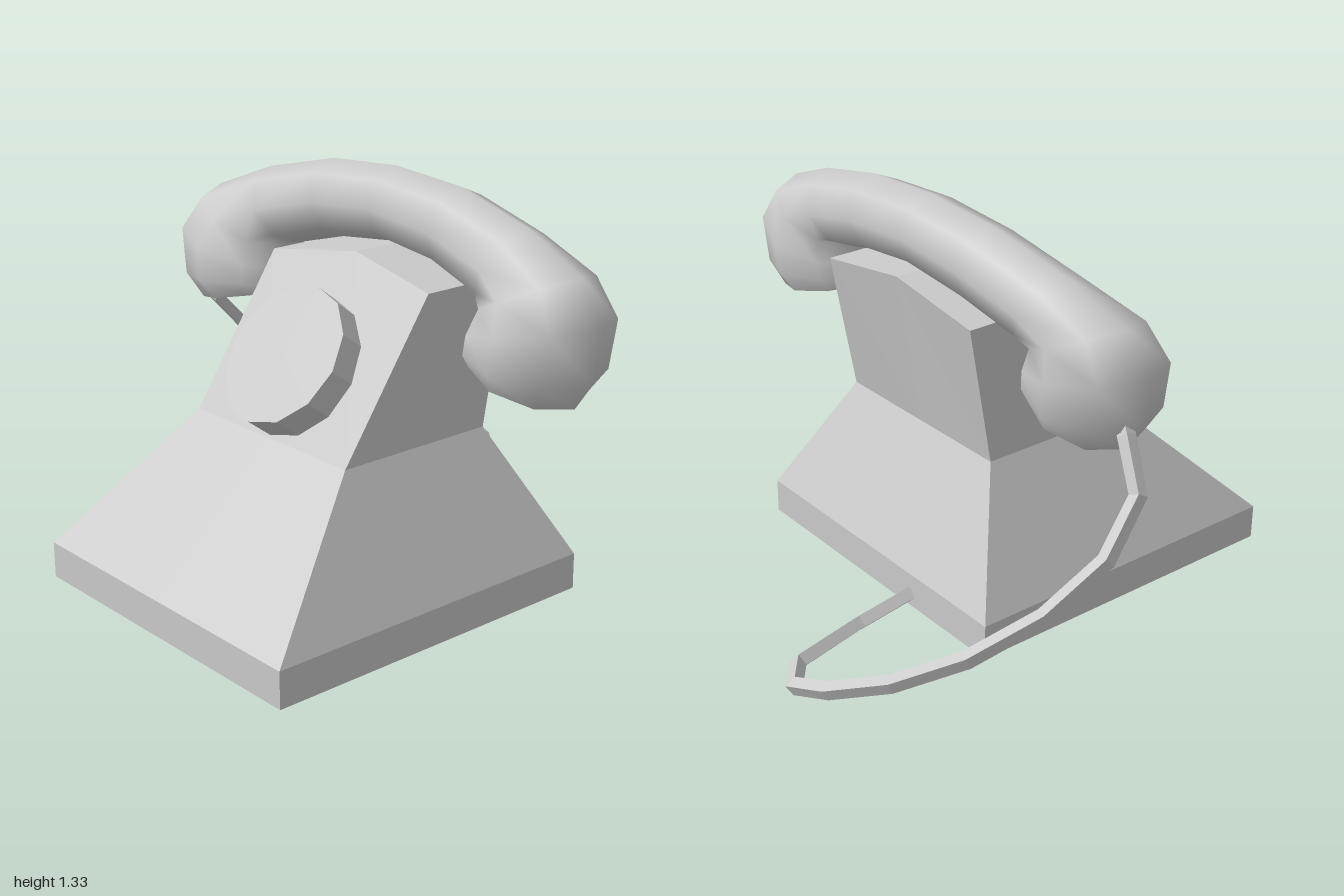
import * as THREE from 'three';

const CENTRE_X = 0.055;
const material = (options = {}) => new THREE.MeshStandardMaterial({ color: 0xcccccc, ...options });

function named(name, geometry, mat) {
  const mesh = new THREE.Mesh(geometry, mat);
  mesh.name = name;
  return mesh;
}

// Surface through closed rings with equal point counts
function skin(rings) {
  const n = rings[0].length;
  const index = [];
  for (let i = 0; i < rings.length - 1; i++) {
    for (let j = 0; j < n; j++) {
      const a = i * n + j, b = i * n + (j + 1) % n;
      index.push(a, b, a + n, b, b + n, a + n);
    }
  }
  const geometry = new THREE.BufferGeometry().setFromPoints(rings.flat());
  geometry.setIndex(index);
  geometry.computeVertexNormals();
  return geometry;
}

// Fan that closes a ring, started at its second point
function cap(ring, flip = false) {
  const n = ring.length;
  const index = [];
  for (let k = 2; k < n; k++) {
    const a = k, b = (k + 1) % n;
    index.push(1, flip ? b : a, flip ? a : b);
  }
  const geometry = new THREE.BufferGeometry().setFromPoints(ring);
  geometry.setIndex(index);
  geometry.computeVertexNormals();
  return geometry;
}

// Waisted body with a shallow ridge along its top
function makeBody() {
  const body = new THREE.Group();
  body.name = 'body';
  const flat = material({ flatShading: true });

  const base = named('basePlate', new THREE.BoxGeometry(1.18, 0.12, 1.205), flat);
  base.position.set(0, 0.06, 0.3225);
  body.add(base);

  // y, half width, front z, back z, rise of the middle, front z of the middle
  const rows = [
    [0.12, 0.59, 0.925, -0.28, 0, 0.925],
    [0.54, 0.365, 0.49, -0.08, 0, 0.49],
    [1.02, 0.37, 0.165, -0.17, 0.055, 0.13],
  ];
  const rings = rows.map(([y, w, front, back, rise, midFront]) => [
    [-w, y, front], [0, y + rise, midFront], [w, y, front],
    [w, y, back], [0, y + rise, back], [-w, y, back],
  ].map((p) => new THREE.Vector3(...p)));
  body.add(named('bodyShell', skin(rings), flat));
  body.add(named('bodyTop', cap(rings[2]), flat));
  return body;
}

// Twelve-sided dial lying on the sloping front
function makeDial() {
  const normal = new THREE.Vector3(0, 0.6, 0.8);
  const dial = named('dial', new THREE.CylinderGeometry(0.235, 0.235, 0.13, 12),
    material({ flatShading: true }));
  dial.rotation.x = Math.atan2(normal.z, normal.y);
  dial.position.set(0, 0.8, 0.4275).addScaledVector(normal, -0.065);
  return dial;
}

// Arched grip swelling into a downturned cup at each end
function makeHandset() {
  const handset = new THREE.Group();
  handset.name = 'handset';

  // outer x, y, inner x, y, back z, front z, from the middle to the cup mouth
  const sections = [
    [0, 1.325, 0, 1.08, -0.165, 0.085],
    [0.3, 1.305, 0.255, 1.05, -0.16, 0.09],
    [0.605, 1.235, 0.46, 0.995, -0.14, 0.12],
    [0.85, 1.14, 0.505, 0.985, -0.145, 0.19],
    [0.943, 1.015, 0.472, 0.92, -0.17, 0.235],
    [0.915, 0.84, 0.468, 0.875, -0.165, 0.24],
    [0.85, 0.752, 0.475, 0.835, -0.125, 0.195],
  ];
  const ring = ([ox, oy, ix, iy, back, front], side) => {
    const points = [];
    for (let j = 0; j < 8; j++) {
      const c = Math.cos(j * Math.PI / 4), s = Math.sin(j * Math.PI / 4);
      points.push(new THREE.Vector3(
        side * ((ox + ix) / 2 + c * (ox - ix) / 2),
        (oy + iy) / 2 + c * (oy - iy) / 2,
        (front + back) / 2 + s * (front - back) / 2,
      ));
    }
    return points;
  };
  const rings = [
    ...sections.slice(1).reverse().map((s) => ring(s, -1)),
    ...sections.map((s) => ring(s, 1)),
  ];
  handset.add(named('grip', skin(rings), material()));
  handset.add(named('rightCupFace', cap(rings[0], true), material({ flatShading: true })));
  handset.add(named('leftCupFace', cap(rings[rings.length - 1]), material({ flatShading: true })));
  return handset;
}

// Faceted cord looping from the base round to the right cup
function makeCord() {
  const points = [
    [-0.14, 0.045, -0.24], [-0.165, 0.03, -0.5], [-0.25, 0.05, -0.79],
    [-0.39, 0.09, -0.895], [-0.54, 0.15, -0.875], [-0.695, 0.21, -0.76],
    [-0.83, 0.295, -0.59], [-0.93, 0.41, -0.39], [-0.975, 0.545, -0.2],
    [-0.94, 0.69, -0.05], [-0.84, 0.83, -0.01], [-0.75, 0.92, 0.03],
  ].map((p) => new THREE.Vector3(...p));
  const curve = new THREE.CatmullRomCurve3(points);
  // Bends fall exactly on the listed points
  curve.getPointAt = (t, target) => curve.getPoint(t, target);
  curve.getTangentAt = (t, target) => curve.getTangent(t, target);
  return named('cord', new THREE.TubeGeometry(curve, points.length - 1, 0.028, 4),
    material({ flatShading: true, side: THREE.DoubleSide }));
}

export function createModel() {
  const model = new THREE.Group();
  model.name = 'telephone';
  const phone = new THREE.Group();
  phone.name = 'phone';
  phone.position.x = CENTRE_X;
  phone.add(makeBody(), makeDial(), makeHandset());
  model.add(phone, makeCord());
  return model;
}
